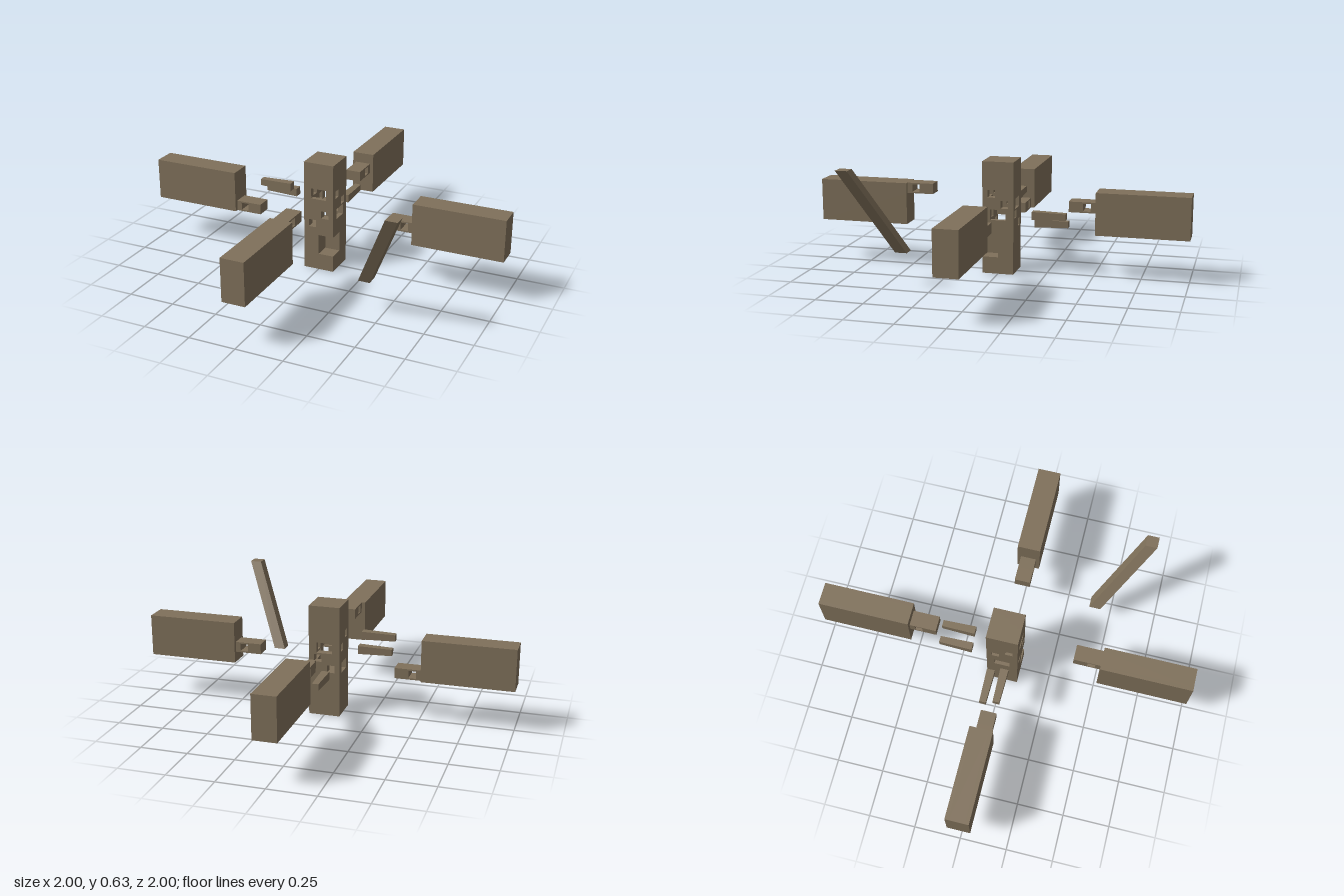
import * as THREE from 'three';

const POST = 0.084;              // half width of the post
const TENON = 0.042;             // half width of a tenon
const BEAM = 0.0615;             // half width of a beam
const BASE = 0.235, STEP = 0.05625; // beam underside and height of one tenon
const SHOULDER = 0.513, TIP = 0.37; // exploded beam shoulder and tenon tip
const PEG = 0.0205, PEG_OFF = 0.036;  // peg half size and offset from the axis

const wood = new THREE.MeshStandardMaterial({ color: 0x7f705a });
wood.name = 'timberBrown';

// Box list entry: [min corner, max corner]
const box = (x0, x1, y0, y1, z0, z1) => [[x0, y0, z0], [x1, y1, z1]];

// Solid made of the boxes in `add` minus those in `cut`; only outer faces are emitted
function carve(add, cut) {
  const all = [...add, ...cut];
  const lo = [0, 1, 2].map(d => Math.min(...add.map(b => b[0][d])));
  const hi = [0, 1, 2].map(d => Math.max(...add.map(b => b[1][d])));
  const grid = [0, 1, 2].map(d => [...new Set(all.flatMap(b => [b[0][d], b[1][d]])
    .map(v => +Math.min(hi[d], Math.max(lo[d], v)).toFixed(5)))].sort((a, b) => a - b));
  const inside = (b, p) => p.every((v, d) => v > b[0][d] && v < b[1][d]);
  const solid = c => {
    if (c.some((i, d) => i < 0 || i >= grid[d].length - 1)) return false;
    const p = c.map((i, d) => (grid[d][i] + grid[d][i + 1]) / 2);
    return add.some(b => inside(b, p)) && !cut.some(b => inside(b, p));
  };
  const pos = [];
  const cell = [0, 0, 0];
  const face = (d, s) => {
    const u = (d + 1) % 3, v = (d + 2) % 3;
    const corner = (i, j) => {
      const p = [0, 0, 0];
      p[d] = grid[d][cell[d] + (s > 0 ? 1 : 0)];
      p[u] = grid[u][cell[u] + i];
      p[v] = grid[v][cell[v] + j];
      return p;
    };
    const q = [corner(0, 0), corner(1, 0), corner(1, 1), corner(0, 1)];
    if (s < 0) q.reverse();
    for (const k of [0, 1, 2, 0, 2, 3]) pos.push(...q[k]);
  };
  for (cell[0] = 0; cell[0] < grid[0].length - 1; cell[0]++)
    for (cell[1] = 0; cell[1] < grid[1].length - 1; cell[1]++)
      for (cell[2] = 0; cell[2] < grid[2].length - 1; cell[2]++) {
        if (!solid(cell)) continue;
        for (let d = 0; d < 3; d++) for (const s of [-1, 1]) {
          const n = [...cell];
          n[d] += s;
          if (!solid(n)) face(d, s);
        }
      }
  const g = new THREE.BufferGeometry();
  g.setAttribute('position', new THREE.Float32BufferAttribute(pos, 3));
  g.computeVertexNormals();
  return g;
}

// Box whose vertices are moved by a rule
function shapedBox(w, h, d, rule) {
  const g = new THREE.BoxGeometry(w, h, d).toNonIndexed();
  const p = g.attributes.position;
  const v = new THREE.Vector3();
  for (let i = 0; i < p.count; i++) {
    v.fromBufferAttribute(p, i);
    rule(v);
    p.setXYZ(i, v.x, v.y, v.z);
  }
  g.computeVertexNormals();
  return g;
}

export function createModel() {
  const model = new THREE.Group();
  model.name = 'explodedTimberJoint';
  const put = (name, geometry) => {
    const m = new THREE.Mesh(geometry, wood);
    m.name = name;
    model.add(m);
    return m;
  };

  // Four beams, each with its tenon at a different level
  const arms = [
    { name: 'left', axis: 'x', sign: 1, level: 1, turn: 0 },
    { name: 'right', axis: 'x', sign: -1, level: 0, turn: Math.PI },
    { name: 'front', axis: 'z', sign: 1, level: 3, turn: -Math.PI / 2 },
    { name: 'back', axis: 'z', sign: -1, level: 2, turn: Math.PI / 2 },
  ];
  // Corner notch for the brace
  const cuts = [box(0, 1, 0.09, 0.2, 0, 1)];

  for (const { name, axis, sign, level, turn } of arms) {
    const y0 = BASE + level * STEP, y1 = y0 + STEP, mid = (y0 + y1) / 2;
    const hole = SHOULDER - POST + PEG_OFF;

    // Beam with tenon and peg hole
    put(name + 'Beam', carve(
      [box(SHOULDER, 1, BASE, BASE + 4 * STEP, -BEAM, BEAM),
        box(TIP, SHOULDER, y0, y1, -TENON, TENON)],
      [box(hole - PEG, hole + PEG, mid - PEG, mid + PEG, -TENON, TENON)],
    )).rotation.y = turn;

    // Mortise and through peg hole in the post
    const ends = [sign * POST, sign * (POST - (SHOULDER - TIP))].sort((a, b) => a - b);
    const c = sign * PEG_OFF;
    if (axis === 'x') {
      cuts.push(box(...ends, y0, y1, -TENON, TENON));
      cuts.push(box(c - PEG, c + PEG, mid - PEG, mid + PEG, -POST, POST));
    } else {
      cuts.push(box(-TENON, TENON, y0, y1, ...ends));
      cuts.push(box(-POST, POST, mid - PEG, mid + PEG, c - PEG, c + PEG));
    }

    // Slightly tapered peg, thicker toward the post
    const peg = put(name + 'Peg', shapedBox(0.18, 0.043, 0.043, v => {
      const k = v.x > 0 ? 1 : 0.8;
      v.y *= k;
      v.z *= k;
    }));
    if (axis === 'x') {
      peg.position.set(c, mid, -0.266);
      peg.rotation.y = -Math.PI / 2;
    } else {
      peg.position.set(-0.266, mid, c);
    }
  }

  // Post
  put('post', carve([box(-POST, POST, 0, 0.603, -POST, POST)], cuts));

  // Diagonal brace with level ends
  put('brace', shapedBox(0.062, 0.45, 0.062, v => {
    const lean = v.y * 0.218 / 0.45;
    v.x += lean;
    v.z += lean;
  })).position.set(0.521, 0.405, 0.521);

  return model;
}
